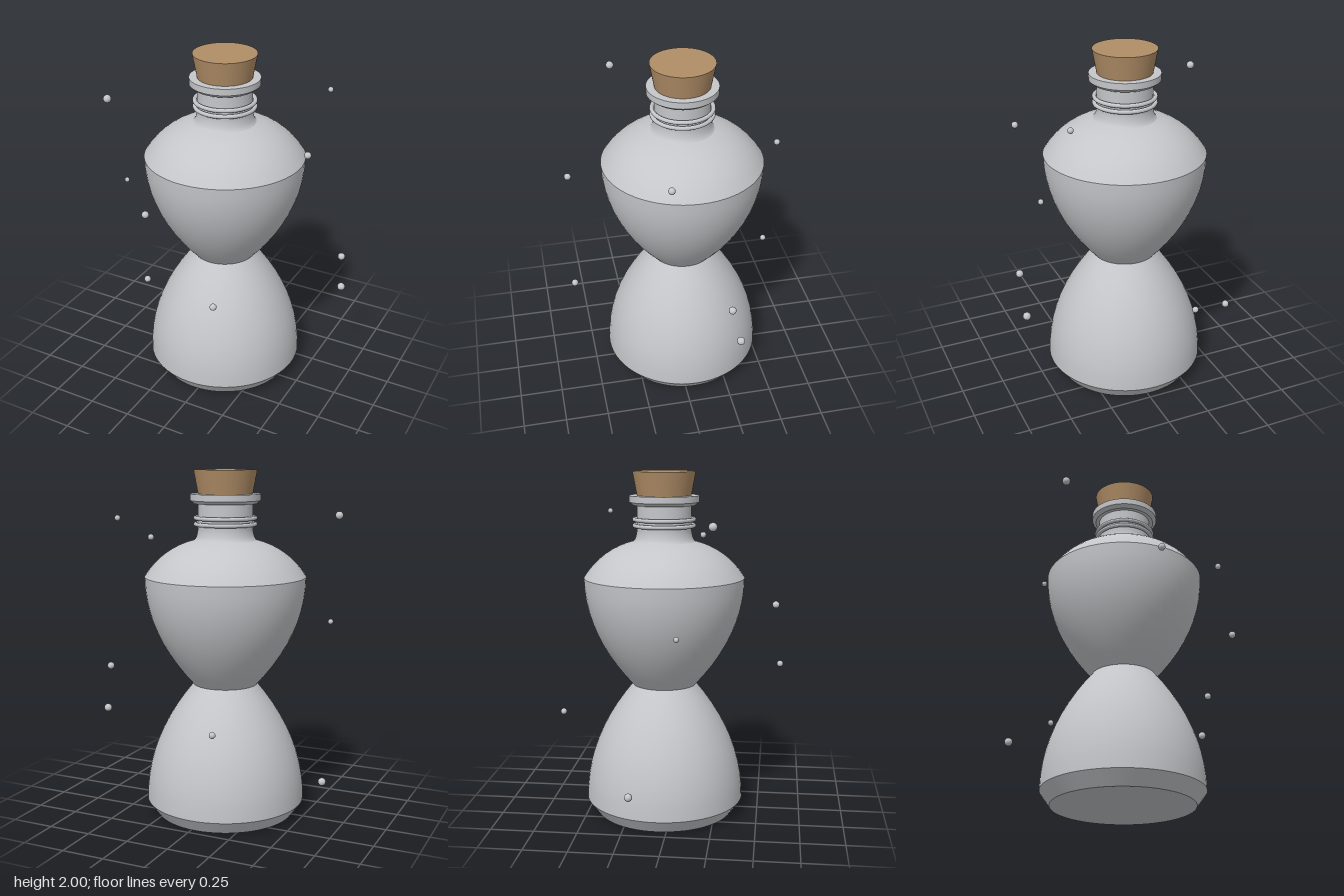
import * as THREE from 'three';

const SEGMENTS = 64;

// Points along a quadratic curve given as [radius, height] pairs
function curve(a, control, b, steps) {
  const v = (p) => new THREE.Vector2(p[0], p[1]);
  return new THREE.QuadraticBezierCurve(v(a), v(control), v(b)).getPoints(steps);
}

export function createModel() {
  const glass = new THREE.MeshStandardMaterial({ color: 0xc4c6c9 });
  glass.name = 'pale grey glass';
  const corkBrown = new THREE.MeshStandardMaterial({ color: 0xb08d66 });
  corkBrown.name = 'cork brown';

  const model = new THREE.Group();
  model.name = 'potionBottle';
  const bottle = new THREE.Group();
  bottle.name = 'bottle';
  bottle.position.set(-0.027, 0, -0.056);
  model.add(bottle);

  function add(parent, name, geometry, material, x = 0, y = 0, z = 0) {
    const mesh = new THREE.Mesh(geometry, material);
    mesh.name = name;
    mesh.position.set(x, y, z);
    parent.add(mesh);
    return mesh;
  }
  const lathe = (name, points) =>
    add(bottle, name, new THREE.LatheGeometry(points, SEGMENTS), glass);
  // Straight-sided round part between two heights
  const drum = (name, rTop, rBottom, y0, y1, material = glass, open = false) =>
    add(bottle, name, new THREE.CylinderGeometry(rTop, rBottom, y1 - y0, SEGMENTS, 1, open),
      material, 0, (y0 + y1) / 2, 0);

  // Body, split where the surface has sharp edges
  const base = add(bottle, 'baseDisc', new THREE.CircleGeometry(0.405, SEGMENTS), glass);
  base.rotation.x = Math.PI / 2;
  drum('baseBevel', 0.463, 0.405, 0, 0.08, glass, true);
  lathe('lowerBulb', curve([0.463, 0.08], [0.463, 0.44], [0.185, 0.77], 10));
  lathe('upperBulb', curve([0.185, 0.77], [0.463, 1.07], [0.463, 1.4], 10));
  lathe('shoulder', curve([0.463, 1.4], [0.36, 1.56], [0.178, 1.605], 8));

  // Neck with two thread rings and a lip
  lathe('neck', [
    ...curve([0.178, 1.605], [0.16, 1.62], [0.156, 1.67], 5),
    new THREE.Vector2(0.156, 1.82),
  ]);
  for (const y of [1.695, 1.73]) {
    const ring = add(bottle, 'neckRing', new THREE.TorusGeometry(0.17, 0.012, 10, SEGMENTS), glass, 0, y, 0);
    ring.rotation.x = Math.PI / 2;
  }
  drum('lipUnderside', 0.2, 0.178, 1.81, 1.828);
  drum('lip', 0.2, 0.2, 1.828, 1.865);

  // Tapered stopper
  drum('cork', 0.18, 0.152, 1.85, 2, corkBrown);

  // Floating bubbles: x, y, z, radius
  const bubbles = [
    [-0.598, 1.74, 0.262, 0.023],
    [0.445, 1.74, -0.45, 0.016],
    [0.556, 1.585, 0.121, 0.019],
    [-0.168, 1.273, 0.588, 0.02],
    [-0.62, 1.155, 0.077, 0.015],
    [0.257, 0.835, 0.62, 0.019],
    [0.668, 0.835, -0.193, 0.021],
    [0.657, 0.59, -0.254, 0.023],
    [-0.673, 0.295, -0.177, 0.022],
    [-0.21, 0.628, -0.624, 0.018],
  ];
  for (const [x, y, z, r] of bubbles) {
    add(model, 'bubble', new THREE.SphereGeometry(r, 20, 14), glass, x, y, z);
  }

  return model;
}
